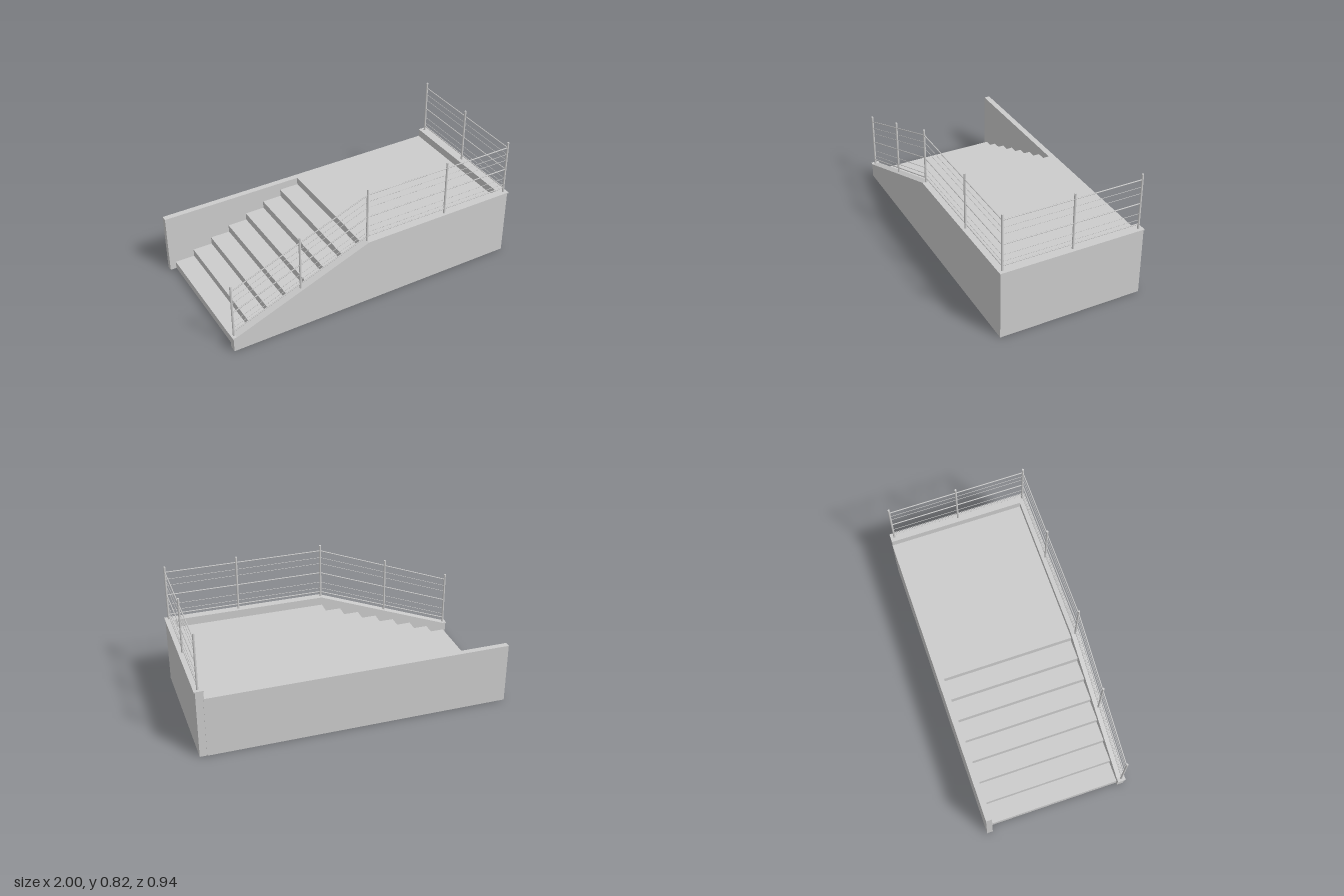
import * as THREE from 'three';

const grey = new THREE.MeshStandardMaterial({ color: 0xcccccc });
const sheet = new THREE.MeshStandardMaterial({ color: 0xcccccc, side: THREE.DoubleSide });

// Main levels and positions
const DECK_Y = 0.4, WALL_Y = 0.448, CAP = 0.007;
const STAIR_X0 = -0.96, STAIR_X1 = -0.057, STEPS = 7;
const Z_BACK = -0.435, Z_FRONT = 0.42;
const RAIL_Z = 0.445, RAIL_X = 0.97;

function add(parent, name, geometry, material = grey) {
  const mesh = new THREE.Mesh(geometry, material);
  mesh.name = name;
  parent.add(mesh);
  return mesh;
}

// Box given by its minimum and maximum corners
function box(parent, name, a, b) {
  const mesh = add(parent, name, new THREE.BoxGeometry(b[0] - a[0], b[1] - a[1], b[2] - a[2]));
  mesh.position.set((a[0] + b[0]) / 2, (a[1] + b[1]) / 2, (a[2] + b[2]) / 2);
  return mesh;
}

// Outline in x, y extruded between two z values
function slab(parent, name, points, z0, z1) {
  const shape = new THREE.Shape(points.map(p => new THREE.Vector2(...p)));
  const geometry = new THREE.ExtrudeGeometry(shape, { depth: z1 - z0, bevelEnabled: false });
  add(parent, name, geometry.translate(0, 0, z0));
}

// Round bar between two points
function bar(parent, name, a, b, radius, sides) {
  const dir = b.clone().sub(a);
  const mesh = add(parent, name, new THREE.CylinderGeometry(radius, radius, dir.length(), sides));
  mesh.position.copy(a).add(b).multiplyScalar(0.5);
  mesh.quaternion.setFromUnitVectors(new THREE.Vector3(0, 1, 0), dir.normalize());
}

// Thin horizontal or vertical sheet for treads, risers and deck
function panel(parent, name, width, height, x, y, flat) {
  const geometry = new THREE.PlaneGeometry(width, height);
  if (flat) geometry.rotateX(-Math.PI / 2);
  else geometry.rotateY(-Math.PI / 2);
  add(parent, name, geometry, sheet).position.set(x, y, (Z_BACK + Z_FRONT) / 2);
}

function createWalls() {
  const walls = new THREE.Group();
  walls.name = 'walls';
  box(walls, 'backWall', [-1, 0, -0.473], [0.945, DECK_Y, Z_BACK]);
  box(walls, 'endWall', [0.94, 0, -0.47], [0.99, WALL_Y, 0.465]);
  // Front wall follows the stair, then runs level
  const top = [[-0.955, 0.098], [-0.055, WALL_Y], [0.94, WALL_Y]];
  slab(walls, 'frontWall', [[-0.975, 0], [0.94, 0], ...top.slice().reverse(), [-0.975, 0.098]], Z_FRONT, 0.465);
  // Thin coping with a small overhang
  const under = [[-0.982, 0.098], ...top];
  const over = under.map(([x, y]) => [x, y + CAP]).reverse();
  slab(walls, 'frontCoping', [...under, ...over], Z_FRONT - 0.002, 0.47);
  box(walls, 'endCoping', [0.938, WALL_Y, -0.472], [0.997, WALL_Y + CAP, 0.47]);
  return walls;
}

function createStairs() {
  const stairs = new THREE.Group();
  stairs.name = 'stairs';
  const depth = Z_FRONT - Z_BACK;
  const run = (STAIR_X1 - STAIR_X0) / STEPS, rise = DECK_Y / (STEPS + 1);
  for (let i = 0; i <= STEPS; i++) {
    const x = STAIR_X0 + i * run;
    panel(stairs, 'riser', depth, rise, x, (i + 0.5) * rise, false);
    if (i < STEPS) panel(stairs, 'tread', run, depth, x + run / 2, (i + 1) * rise, true);
  }
  panel(stairs, 'deck', 0.94 - STAIR_X1, depth, (0.94 + STAIR_X1) / 2, DECK_Y, true);
  return stairs;
}

function createRailing() {
  const railing = new THREE.Group();
  railing.name = 'railing';
  const up = (p, h) => new THREE.Vector3(p[0], p[1] + h, p[2]);
  const topY = WALL_Y + CAP;
  // Feet of the posts, in order along the railing
  const feet = [
    [-0.963, 0.104, RAIL_Z], [-0.513, 0.278, RAIL_Z], [-0.055, topY, RAIL_Z],
    [0.51, topY, RAIL_Z], [RAIL_X, topY, RAIL_Z],
    [RAIL_X, topY, -0.005], [RAIL_X, topY, -0.445],
  ];
  feet.forEach(p => bar(railing, 'post', up(p, -0.003), up(p, 0.37), 0.0068, 12));
  // Three thick rails with thin wires between them
  const thick = [0.032, 0.172, 0.332], thin = [0.06, 0.103, 0.24, 0.283];
  for (let i = 0; i < feet.length - 1; i++) {
    thick.forEach(h => bar(railing, 'rail', up(feet[i], h), up(feet[i + 1], h), 0.0036, 8));
    thin.forEach(h => bar(railing, 'wire', up(feet[i], h), up(feet[i + 1], h), 0.0017, 6));
  }
  return railing;
}

export function createModel() {
  const model = new THREE.Group();
  model.name = 'raisedPlatformWithStairs';
  model.add(createWalls(), createStairs(), createRailing());
  return model;
}
